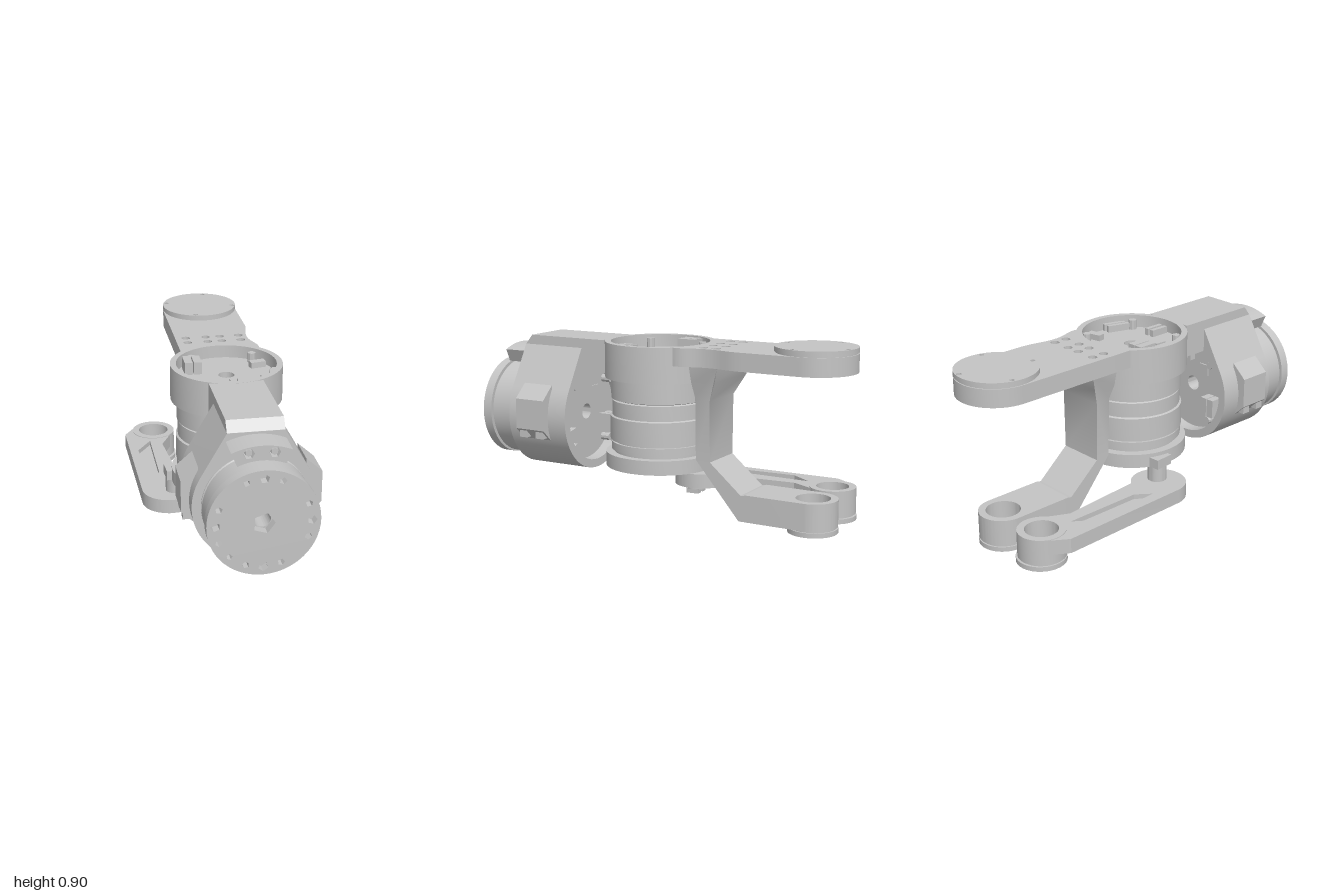
import * as THREE from 'three';
import { toCreasedNormals } from 'three/addons/utils/BufferGeometryUtils.js';

const grey = new THREE.MeshStandardMaterial({ color: 0xc4c4c4 });
grey.name = 'light machined grey';

const part = (name, geo, parent) => {
  const m = new THREE.Mesh(toCreasedNormals(geo, 0.5), grey);
  m.name = name;
  parent.add(m);
  return m;
};
const poly = (pts) => new THREE.Shape(pts.map(([x, y]) => new THREE.Vector2(x, y)));
const circle = (x, y, r) => new THREE.Shape().absarc(x, y, r, 0, Math.PI * 2, false);
const ngon = (x, y, r, sides, turn) => poly(Array.from({ length: sides }, (_, i) => {
  const t = turn + i / sides * Math.PI * 2;
  return [x + r * Math.cos(t), y + r * Math.sin(t)];
}));
const extrude = (shape, depth) =>
  new THREE.ExtrudeGeometry(shape, { depth, bevelEnabled: false, curveSegments: 28 });
// Plan outline (x, rearward distance) raised from y0 to y1
const slab = (shape, y0, y1) => extrude(shape, y1 - y0).rotateX(-Math.PI / 2).translate(0, y0, 0);
// Side outline (z, y) spread across x
const sideways = (pts, width) =>
  extrude(poly(pts), width).rotateY(-Math.PI / 2).translate(width / 2, 0, 0);
const lathe = (pts) =>
  new THREE.LatheGeometry(pts.map(([r, y]) => new THREE.Vector2(r, y)), 56);
const rod = (r, y0, y1, sides = 32) =>
  new THREE.CylinderGeometry(r, r, y1 - y0, sides).translate(0, (y0 + y1) / 2, 0);

// Round plate with polygonal bolt holes [angle in degrees, size]
function boltPlate(radius, holes, ringRadius, sides) {
  const s = circle(0, 0, radius);
  for (const [deg, r] of holes) {
    const a = deg * Math.PI / 180;
    s.holes.push(ngon(Math.cos(a) * ringRadius, Math.sin(a) * ringRadius, r, sides, a));
  }
  return s;
}

// Controller board details standing on y = 0
function createBoard() {
  const g = new THREE.Group();
  g.name = 'controllerBoard';
  const box = (name, x, z, w, h, d, turn = 0) => {
    const m = part(name, new THREE.BoxGeometry(w, h, d).translate(0, h / 2, 0), g);
    m.position.set(x, 0, z);
    m.rotation.y = turn;
  };
  for (const dx of [-0.023, 0.023]) {
    box('powerSocket', -0.16 + dx, -0.08, 0.04, 0.063, 0.1);
    box('signalSocket', 0.02 + dx * 0.8, 0.19, 0.022, 0.035, 0.1);
    box('sideSocket', 0.205 + dx * 0.7, 0.08, 0.022, 0.035, 0.12, -0.3);
  }
  box('rimTab', 0.175, -0.09, 0.08, 0.03, 0.04, 0.2);
  box('chip', -0.08, 0.1, 0.06, 0.008, 0.06);
  for (const [x, z] of [[-0.15, -0.16], [0.16, -0.16], [0.16, 0.155], [-0.16, 0.155]])
    part('boardPost', rod(0.02, 0, 0.05, 10), g).position.set(x, 0, z);
  return g;
}

function createArm() {
  const g = new THREE.Group();
  g.name = 'arm';

  // Flat rear arm, waisted on one side, ending in a round pad
  const s = new THREE.Shape();
  s.moveTo(0.2, 0.85);
  s.absarc(0, 0.85, 0.2, 0, Math.PI, false);
  s.lineTo(-0.2, 0.166);
  s.absarc(0, 0, 0.26, Math.PI - 0.693, 0.693, true);
  s.bezierCurveTo(0.225, 0.25, 0.175, 0.27, 0.175, 0.36);
  s.bezierCurveTo(0.175, 0.45, 0.2, 0.46, 0.2, 0.56);
  s.closePath();
  s.holes.push(circle(0, 0.85, 0.135));
  for (const x of [-0.145, -0.04, 0.035, 0.135])
    for (const v of [0.32, 0.39]) s.holes.push(circle(x, v, 0.022));
  part('armPlate', slab(s, 0.78, 0.87), g);
  const lid = boltPlate(0.2, [[75, 0.014], [165, 0.014], [255, 0.014], [345, 0.014]], 0.182, 5);
  part('padLid', slab(lid, 0.876, 0.9), g).position.z = -0.85;
  part('padLidNeck', rod(0.194, 0.865, 0.878, 48), g).position.z = -0.85;

  // Joint ring with recessed floor
  part('jointRing', lathe([[0.04, 0.69], [0.28, 0.69], [0.28, 0.87], [0.25, 0.87],
    [0.25, 0.805], [0.04, 0.805], [0.04, 0.69]]), g);
  const board = createBoard();
  board.position.y = 0.805;
  g.add(board);

  // Stacked joint motor
  part('jointMotor', lathe([[0.04, 0.29], [0.25, 0.29], [0.25, 0.31], [0.235, 0.31], [0.235, 0.325],
    [0.25, 0.325], [0.25, 0.365], [0.237, 0.365], [0.237, 0.375], [0.255, 0.375], [0.255, 0.495],
    [0.245, 0.5], [0.245, 0.575], [0.235, 0.58], [0.25, 0.585], [0.25, 0.685], [0.26, 0.69],
    [0.04, 0.69], [0.04, 0.29]]), g);
  const ringHoles = Array.from({ length: 10 }, (_, i) => [i * 36, i % 2 ? 0.016 : 0.022]);
  const flange = boltPlate(0.278, ringHoles, 0.215, 6);
  flange.holes.push(circle(0, 0, 0.1));
  part('jointFlange', slab(flange, 0.238, 0.31), g);

  // Neck to the front motor with a chamfered end
  part('frontNeck', sideways([[0.26, 0.70], [0.385, 0.70], [0.42, 0.75], [0.739, 0.75],
    [0.739, 0.82], [0.70, 0.869], [0.26, 0.869]], 0.265), g);
  return g;
}

function createFrontMotor() {
  const g = new THREE.Group();
  g.name = 'frontMotor';
  g.position.y = 0.465;

  // Teardrop housing around the motor
  const s = new THREE.Shape();
  s.moveTo(0.132, 0.356);
  s.lineTo(-0.132, 0.356);
  s.absarc(0, 0, 0.292, Math.PI * 5 / 6, Math.PI * 13 / 6, false);
  s.closePath();
  s.holes.push(circle(0, 0, 0.249));
  part('motorHousing', extrude(s, 0.35).translate(0, 0, 0.39), g);

  // Motor body and bolted front face
  part('motorBody', lathe([[0.04, 0.455], [0.25, 0.455], [0.25, 0.745], [0.245, 0.75], [0.245, 0.76],
    [0.25, 0.765], [0.25, 0.875], [0.24, 0.878], [0.24, 0.89], [0.04, 0.89], [0.04, 0.455]])
    .rotateX(Math.PI / 2), g);
  const bolts = [];
  for (let q = 0; q < 4; q++) bolts.push([q * 90, 0.023], [q * 90 + 22, 0.017], [q * 90 - 22, 0.017]);
  bolts.push([225, 0.014]);
  const face = boltPlate(0.258, bolts, 0.218, 5);
  face.holes.push(ngon(0, 0, 0.052, 5, 0));
  part('motorFace', extrude(face, 0.05).translate(0, 0, 0.885), g);

  // Board on the rear of the motor
  const board = createBoard();
  board.rotation.x = -Math.PI / 2;
  board.position.z = 0.455;
  g.add(board);

  // Side bosses with cable prongs beneath
  for (const m of [-1, 1]) {
    const pts = [[0.251, 0.17], [0.251, -0.13], [0.33, -0.055], [0.33, 0.1]].map(([x, y]) => [x * m, y]);
    part('sideBoss', extrude(poly(pts), 0.17).translate(0, 0, 0.495), g);
    for (const z of [0.53, 0.63])
      part('bossProng', new THREE.BoxGeometry(0.05, 0.06, 0.045), g).position.set(0.295 * m, -0.07, z);
  }

  // Curved bracket over the motor with two bolts
  const b = new THREE.Shape();
  const a0 = Math.PI / 2 - 0.41, a1 = Math.PI / 2 + 0.41;
  b.absarc(0, 0, 0.345, a0, a1, false);
  b.absarc(0, 0, 0.275, a1, a0, true);
  b.closePath();
  for (const x of [-0.058, 0.058]) {
    b.holes.push(ngon(x, 0.31, 0.026, 6, 0));
    part('bracketBolt', rod(0.017, 0, 0.12, 6).rotateX(Math.PI / 2), g).position.set(x, 0.31, 0.74);
  }
  part('topBracket', extrude(b, 0.13).translate(0, 0, 0.738), g);
  return g;
}

function createLeg() {
  const g = new THREE.Group();
  g.name = 'leg';
  // Bent web that widens towards the arm
  const web = sideways([[-0.26, 0.785], [-0.27, 0.7], [-0.272, 0.62], [-0.272, 0.31], [-0.51, 0.03],
    [-0.56, 0.03], [-0.56, 0.165], [-0.52, 0.16], [-0.35, 0.305], [-0.35, 0.61], [-0.4, 0.71],
    [-0.415, 0.785]], 0.24);
  const p = web.attributes.position;
  for (let i = 0; i < p.count; i++)
    p.setX(i, p.getX(i) * (1 + 0.45 * THREE.MathUtils.smoothstep(p.getY(i), 0.58, 0.74)));
  part('legWeb', web, g);
  // Foot with bearing bore
  const s = new THREE.Shape();
  s.moveTo(0.121, 0.54);
  s.lineTo(0.121, 0.85);
  s.absarc(0, 0.85, 0.121, 0, Math.PI, false);
  s.lineTo(-0.121, 0.54);
  s.closePath();
  s.holes.push(circle(0, 0.85, 0.085));
  part('foot', slab(s, 0.03, 0.165), g);
  part('footCap', rod(0.123, 0, 0.024, 40), g).position.z = -0.85;
  part('footCapNeck', rod(0.115, 0.02, 0.045, 40), g).position.z = -0.85;
  return g;
}

function createLink() {
  const g = new THREE.Group();
  g.name = 'sideLink';
  // Bar with a pocket on both faces and a thin web between
  const s = new THREE.Shape();
  s.moveTo(-0.328, 0.77);
  s.lineTo(-0.358, 0.05);
  s.absarc(-0.218, 0.05, 0.14, Math.PI, Math.PI * 2.3, false);
  s.lineTo(-0.145, 0.6);
  s.lineTo(-0.05, 0.765);
  s.absarc(-0.16, 0.8, 0.117, -0.3, 2.4, false);
  s.closePath();
  const pocket = [[-0.293, 0.545], [-0.206, 0.655], [-0.232, 0.245], [-0.293, 0.175]];
  s.holes.push(circle(-0.16, 0.8, 0.082), poly(pocket));
  part('linkBar', slab(s, 0.085, 0.16), g);
  part('linkWeb', slab(poly(pocket), 0.11, 0.135), g);
  // Rear bearing pad
  const ring = circle(-0.16, 0.8, 0.118);
  ring.holes.push(circle(-0.16, 0.8, 0.082));
  part('linkPad', slab(ring, 0.03, 0.163), g);
  part('linkCap', rod(0.123, 0, 0.024, 40), g).position.set(-0.155, 0, -0.8);
  part('linkCapNeck', rod(0.11, 0.02, 0.045, 40), g).position.set(-0.16, 0, -0.8);
  // Pin up to the joint flange and slotted screw head
  part('linkPin', rod(0.048, 0.14, 0.245), g).position.set(-0.19, 0, -0.03);
  part('pinScrew', rod(0.052, 0.06, 0.09, 24), g).position.set(-0.19, 0, -0.03);
  for (const x of [-0.028, 0.028])
    part('screwHead', new THREE.BoxGeometry(0.036, 0.025, 0.07), g).position.set(-0.19 + x, 0.052, -0.03);
  // Crank ear that carries the pin
  part('crankEar', sideways([[-0.08, 0.24], [0.02, 0.24], [0.02, 0.29], [-0.08, 0.29]], 0.1), g)
    .position.x = -0.19;
  return g;
}

export function createModel() {
  const model = new THREE.Group();
  model.name = 'robotLeg';
  // Main assembly turns slightly about the joint axis
  const main = new THREE.Group();
  main.name = 'mainAssembly';
  main.position.set(0.062, 0, 0.05);
  main.rotation.y = -0.061;
  main.add(createArm(), createFrontMotor(), createLeg());
  model.add(main, createLink());
  return model;
}
